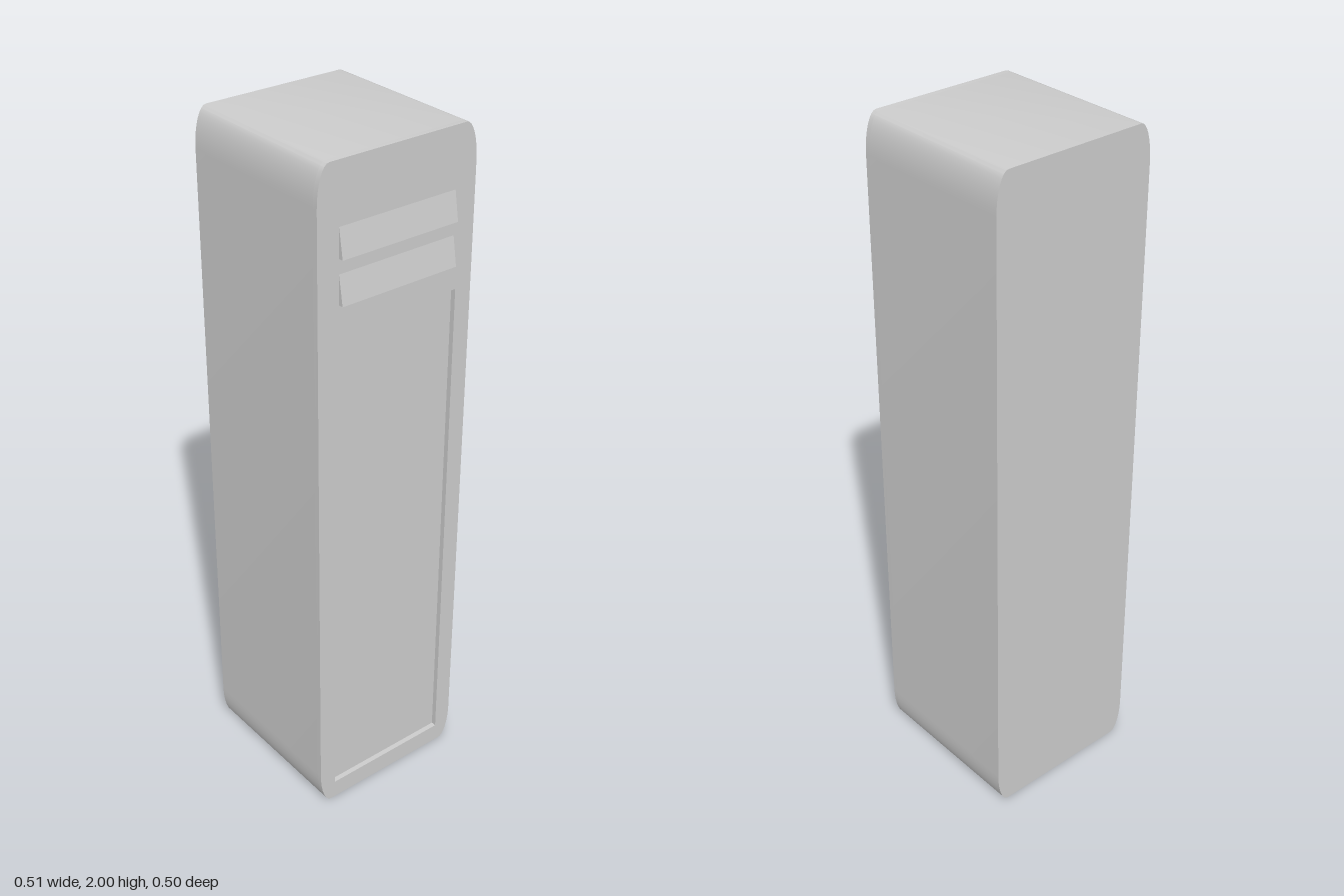
import * as THREE from 'three';
import { toCreasedNormals } from 'three/addons/utils/BufferGeometryUtils.js';

const BACK = -0.257, FACE = 0.243, RECESS = 0.015;

// Upright tower outline with tall elliptical corners (x here becomes -z)
function towerOutline() {
  const w = 0.25, h = 2, rx = 0.037, ry = 0.11;
  const corners = [[1, 1, 0], [-1, 1, 1], [-1, -1, 2], [1, -1, 3]];
  const points = [];
  for (const [sx, sy, quarter] of corners) {
    for (let i = 0; i <= 8; i++) {
      const a = (quarter + i / 8) * Math.PI / 2;
      points.push(new THREE.Vector2(
        sx * (w - rx) + rx * Math.cos(a),
        h / 2 + sy * (h / 2 - ry) + ry * Math.sin(a)));
    }
  }
  return new THREE.Shape(points);
}

// Extrude an outline along x from x0 to x1
function slab(shape, x0, x1) {
  const geometry = new THREE.ExtrudeGeometry(shape, { depth: x1 - x0, bevelEnabled: false });
  geometry.rotateY(Math.PI / 2).translate(x0, 0, 0);
  return toCreasedNormals(geometry, 0.7);
}

export function createModel() {
  const model = new THREE.Group();
  model.name = 'tower';
  const grey = new THREE.MeshStandardMaterial({ color: 0xcccccc });
  grey.name = 'light grey';

  const add = (name, geometry) => {
    const mesh = new THREE.Mesh(geometry, grey);
    mesh.name = name;
    model.add(mesh);
  };

  // Main case; its end is the floor of the recessed panel
  add('case', slab(towerOutline(), BACK, FACE - RECESS));

  // Face plate with the rectangular panel opening
  const plate = towerOutline();
  plate.holes.push(new THREE.Path([
    new THREE.Vector2(-0.198, 0.057), new THREE.Vector2(-0.198, 1.555),
    new THREE.Vector2(0.198, 1.555), new THREE.Vector2(0.198, 0.057)]));
  add('facePlate', slab(plate, FACE - RECESS, FACE));

  // Two wedge-shaped louvres above the panel
  const names = ['lowerLouvre', 'upperLouvre'];
  [1.627, 1.75].forEach((y, i) => {
    const wedge = new THREE.Shape([
      new THREE.Vector2(FACE - 0.003, y), new THREE.Vector2(FACE + 0.014, y),
      new THREE.Vector2(FACE, y + 0.082), new THREE.Vector2(FACE - 0.003, y + 0.082)]);
    const geometry = new THREE.ExtrudeGeometry(wedge, { depth: 0.368, bevelEnabled: false });
    geometry.translate(0, 0, -0.184);
    add(names[i], geometry);
  });

  return model;
}
